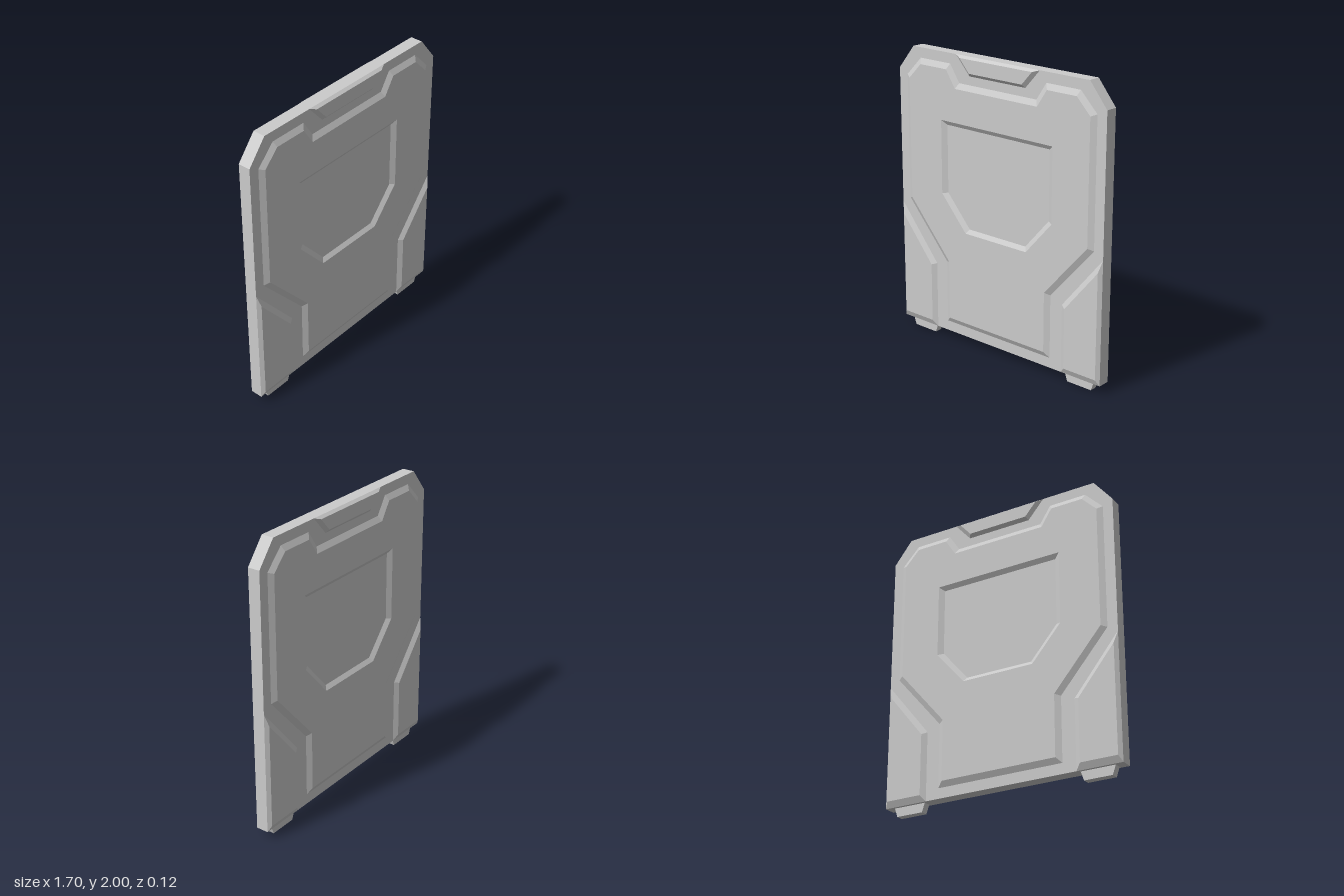
import * as THREE from 'three';

const BASE = 0.042; // half thickness of the core slab
const TOP = 0.062;  // half thickness at the raised panels

const material = new THREE.MeshStandardMaterial({ color: 0xcccccc, flatShading: true });

// Completes a counter-clockwise outline from its right half, listed bottom to top
const mirrored = (half) => [...half, ...half.map(([x, y]) => [-x, y]).reverse()];

const toShape = (points) => new THREE.Shape(points.map(([x, y]) => new THREE.Vector2(x, y)));

// Moves each edge of a counter-clockwise outline inward; edge i runs from point i to i + 1
function inset(points, amount) {
  const n = points.length;
  const lines = points.map(([x, y], i) => {
    const [x2, y2] = points[(i + 1) % n];
    const len = Math.hypot(x2 - x, y2 - y);
    const nx = -(y2 - y) / len, ny = (x2 - x) / len;
    const d = Array.isArray(amount) ? amount[i] : amount;
    return [nx, ny, nx * x + ny * y + d];
  });
  return lines.map(([a2, b2, c2], i) => {
    const [a1, b1, c1] = lines[(i + n - 1) % n];
    const det = a1 * b2 - a2 * b1;
    return [(c1 * b2 - c2 * b1) / det, (a1 * c2 - a2 * c1) / det];
  });
}

// Sloping band between an outer loop at height z0 and an inner loop at height z1
function band(name, outer, inner, z0, z1) {
  const pos = [];
  outer.forEach((p, i) => {
    const j = (i + 1) % outer.length;
    const a = [...p, z0], b = [...outer[j], z0], c = [...inner[j], z1], d = [...inner[i], z1];
    pos.push(...a, ...b, ...c, ...a, ...c, ...d);
  });
  const geometry = new THREE.BufferGeometry();
  geometry.setAttribute('position', new THREE.Float32BufferAttribute(pos, 3));
  geometry.computeVertexNormals();
  const mesh = new THREE.Mesh(geometry, material);
  mesh.name = name;
  return mesh;
}

// Raised panel with bevelled edges and an optional opening in its face
function raisedPanel(name, outline, amount, hole) {
  const group = new THREE.Group();
  group.name = name;
  const top = inset(outline, amount);
  const shape = toShape(top);
  if (hole) shape.holes.push(toShape(hole));
  const face = new THREE.Mesh(new THREE.ShapeGeometry(shape), material);
  face.name = name + 'Face';
  face.position.z = TOP;
  group.add(face, band(name + 'Bevel', outline, top, BASE, TOP));
  return group;
}

// All relief on one side of the slab
function createRelief(name) {
  const relief = new THREE.Group();
  relief.name = name;

  // Central plate with a shield-shaped recess
  const plate = mirrored([
    [0.447, 0.13], [0.447, 0.565], [0.78, 0.947], [0.78, 1.804],
    [0.655, 1.931], [0.394, 1.931], [0.318, 1.815],
  ]);
  const recess = mirrored([[0.257, 0.815], [0.463, 1.05], [0.463, 1.552]]);
  const recessFloor = inset(recess, [0.033, 0.037, 0.03, 0.037, 0.033, 0.028]);
  relief.add(raisedPanel('centralPlate', plate, 0.037, recess));
  relief.add(band('recessWall', recess, recessFloor, TOP, BASE));

  // Tab at the top edge
  const tab = mirrored([[0.23, 1.873], [0.343, 2]]);
  relief.add(raisedPanel('topTab', tab, [0.025, 0.015, 0.025, 0.022]));

  // Lower corner pads
  const pad = [[0.54, 0.06], [0.85, 0.06], [0.85, 0.905], [0.54, 0.527]];
  const padBevel = [0.042, 0.023, 0.035, 0.035];
  relief.add(raisedPanel('leftCornerPad', pad, padBevel));
  const padMirror = [1, 0, 3, 2].map((i) => [-pad[i][0], pad[i][1]]);
  relief.add(raisedPanel('rightCornerPad', padMirror, [0.042, 0.035, 0.035, 0.023]));
  return relief;
}

// Flat extrusion centred on z = 0
function slab(name, outline, halfDepth) {
  const geometry = new THREE.ExtrudeGeometry(toShape(outline), { depth: halfDepth * 2, bevelEnabled: false });
  geometry.translate(0, 0, -halfDepth);
  const mesh = new THREE.Mesh(geometry, material);
  mesh.name = name;
  return mesh;
}

export function createModel() {
  const model = new THREE.Group();
  model.name = 'armouredPanel';

  // Core slab with cut upper corners
  model.add(slab('coreSlab', mirrored([[0.85, 0.06], [0.85, 1.84], [0.72, 2]]), BASE));

  // Same relief on front and back
  const back = createRelief('backRelief');
  back.rotation.y = Math.PI;
  model.add(createRelief('frontRelief'), back);

  // Tapered feet
  for (const [name, side] of [['leftFoot', 1], ['rightFoot', -1]]) {
    const foot = slab(name, mirrored([[0.095, 0], [0.118, 0.065]]), 0.025);
    foot.position.x = side * 0.675;
    model.add(foot);
  }
  return model;
}
